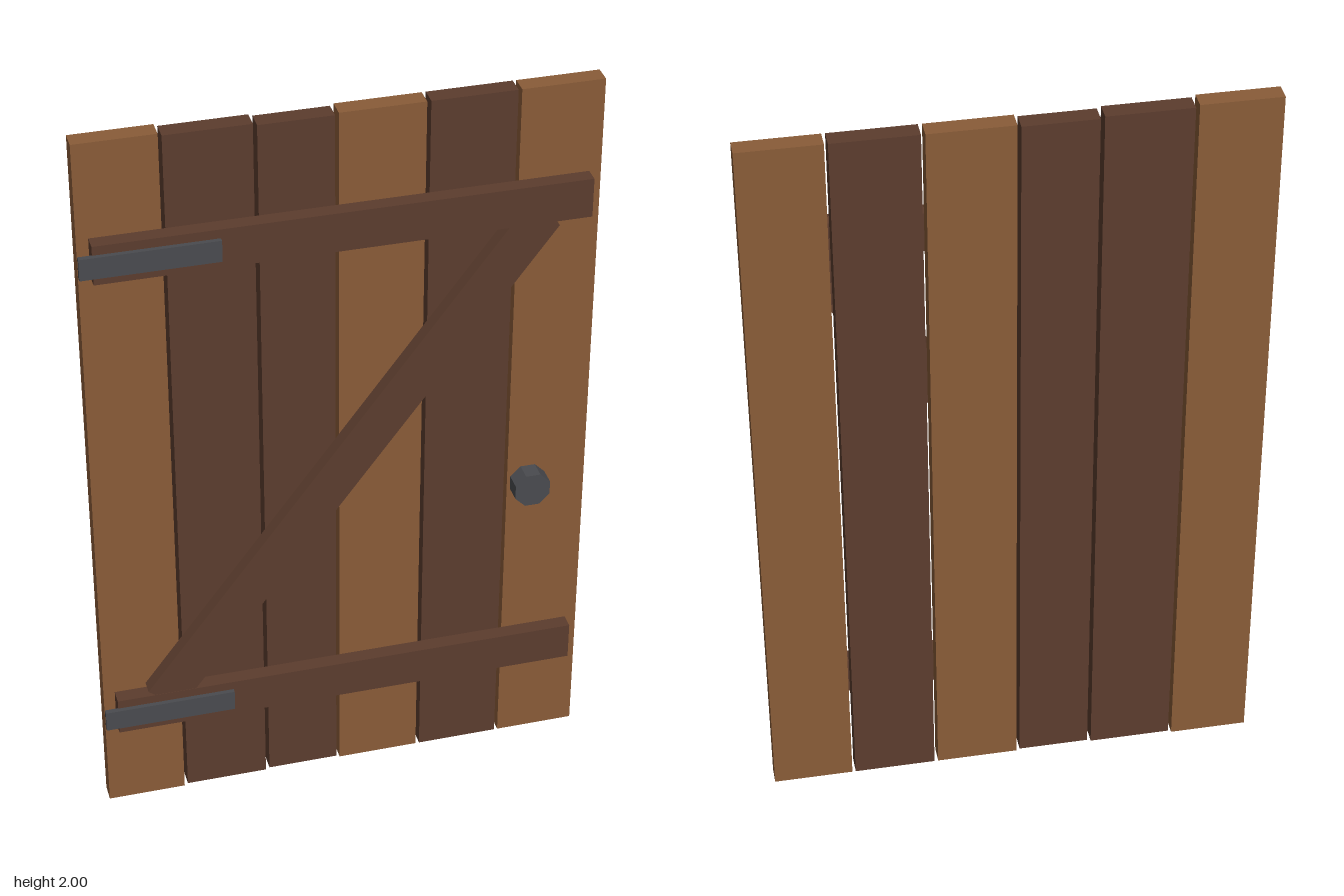
import * as THREE from 'three';

const mat = (name, color) => {
  const m = new THREE.MeshStandardMaterial({ color });
  m.name = name;
  return m;
};

export function createModel() {
  const door = new THREE.Group();
  door.name = 'plankDoor';
  const lightWood = mat('lightWood', 0x8a5c38);
  const darkWood = mat('darkWood', 0x5c3d2e);
  const iron = mat('iron', 0x4a4b4f);

  // Box given by its extents on each axis
  const box = (name, material, [x0, x1], [y0, y1], [z0, z1]) => {
    const mesh = new THREE.Mesh(new THREE.BoxGeometry(x1 - x0, y1 - y0, z1 - z0), material);
    mesh.position.set((x0 + x1) / 2, (y0 + y1) / 2, (z0 + z1) / 2);
    mesh.name = name;
    door.add(mesh);
    return mesh;
  };

  // Upright planks: left edge, right edge, bottom, top, wood
  const back = -0.0625, face = -0.0145;
  [
    [-0.65, -0.444, 0, 2, lightWood],
    [-0.435, -0.218, 0.006, 1.994, darkWood],
    [-0.208, -0.02, 0.011, 1.989, darkWood],
    [-0.011, 0.205, 0.006, 1.994, lightWood],
    [0.215, 0.431, 0.006, 1.994, darkWood],
    [0.44, 0.65, 0.006, 1.994, lightWood],
  ].forEach(([x0, x1, y0, y1, wood], i) =>
    box(`plank${i + 1}`, wood, [x0, x1], [y0, y1], [back, face]));

  // Horizontal battens, each with an iron hinge strap
  [['lower', 0.312], ['upper', 1.693]].forEach(([side, y]) => {
    box(`${side}Batten`, darkWood, [-0.62, 0.62], [y - 0.053, y + 0.053], [face, 0.0255]);
    box(`${side}HingeStrap`, iron, [-0.655, -0.31], [y - 0.029, y + 0.029], [0.0235, 0.0375]);
  });

  // Diagonal brace, a hair shallower than the battens it tucks into
  const brace = box('brace', darkWood, [-0.822, 0.822], [0.948, 1.058], [face, 0.0245]);
  brace.rotation.z = Math.atan2(4, 3);

  // Eight-sided knob with its axis along z
  const knobGeometry = new THREE.CylinderGeometry(0.05, 0.05, 0.048, 8).toNonIndexed();
  knobGeometry.rotateY(Math.PI / 8).rotateX(Math.PI / 2);
  knobGeometry.computeVertexNormals();
  const knob = new THREE.Mesh(knobGeometry, iron);
  knob.position.set(0.485, 0.865, 0.0385);
  knob.name = 'knob';
  door.add(knob);

  return door;
}
